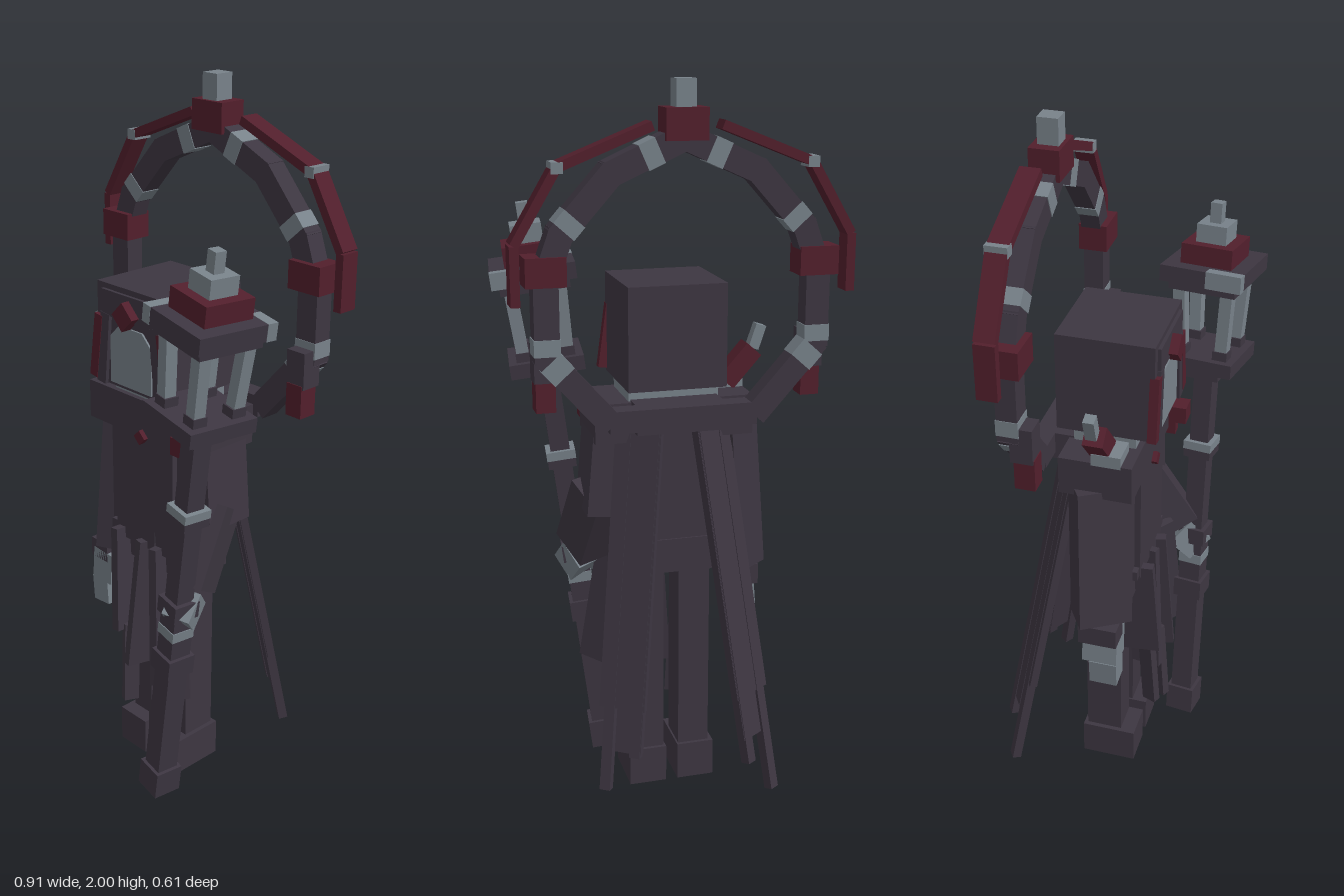
import * as THREE from 'three';

const mat = (name, color) => {
  const m = new THREE.MeshStandardMaterial({ color });
  m.name = name;
  return m;
};

export function createModel() {
  const dark = mat('dark cloth', 0x3d3641);
  const red = mat('deep red', 0x521f2c);
  const grey = mat('worn grey', 0x78828a);
  const root = new THREE.Group();
  root.name = 'lanternBearer';

  const group = (name, parent = root) => {
    const g = new THREE.Group();
    g.name = name;
    parent.add(g);
    return g;
  };
  const box = (parent, name, m, [w, h, d], [x, y, z], [rx, ry, rz] = [0, 0, 0]) => {
    const b = new THREE.Mesh(new THREE.BoxGeometry(w, h, d), m);
    b.name = name;
    b.position.set(x, y, z);
    b.rotation.set(rx, ry, rz);
    parent.add(b);
    return b;
  };
  // Box stretched between two points
  const bar = (parent, name, m, a, b, w, d, extra = 0) => {
    const p = new THREE.Vector3(...a), q = new THREE.Vector3(...b);
    const dir = q.clone().sub(p);
    const mesh = box(parent, name, m, [w, dir.length() + extra, d], [0, 0, 0]);
    mesh.position.copy(p).add(q).multiplyScalar(0.5);
    mesh.quaternion.setFromUnitVectors(new THREE.Vector3(0, 1, 0), dir.normalize());
    return mesh;
  };

  // Hooded head with face plate and red trim
  const head = group('head');
  box(head, 'hood', dark, [0.27, 0.28, 0.265], [0, 1.34, 0.003]);
  const faceShape = new THREE.Shape();
  [[-0.08, 1.21], [0.08, 1.21], [0.08, 1.34], [0.045, 1.375], [-0.045, 1.375], [-0.08, 1.34]]
    .forEach(([x, y], i) => (i ? faceShape.lineTo(x, y) : faceShape.moveTo(x, y)));
  const face = new THREE.Mesh(
    new THREE.ExtrudeGeometry(faceShape, { depth: 0.006, bevelEnabled: false }), grey);
  face.name = 'face';
  face.position.z = 0.135;
  head.add(face);
  box(head, 'hoodBrow', dark, [0.22, 0.07, 0.012], [0, 1.43, 0.139]);
  box(head, 'browDiamond', red, [0.056, 0.056, 0.03], [0, 1.415, 0.155], [0, 0, Math.PI / 4]);
  for (const s of [-1, 1]) {
    bar(head, 'hoodTrim', red, [s * 0.12, 1.39, 0.135], [s * 0.145, 1.21, 0.135], 0.03, 0.025);
    bar(head, 'hoodBorder', dark, [s * 0.095, 1.4, 0.139], [s * 0.115, 1.2, 0.139], 0.035, 0.014);
  }
  box(head, 'neckCollar', grey, [0.25, 0.05, 0.17], [0, 1.185, 0]);

  // Torso and robe
  const body = group('body');
  box(body, 'shoulderMantle', dark, [0.44, 0.11, 0.2], [0, 1.11, 0]);
  box(body, 'torso', dark, [0.3, 0.42, 0.16], [0, 0.87, 0]);
  box(body, 'tabard', dark, [0.23, 0.4, 0.02], [0, 0.92, 0.087]);
  box(body, 'chestDiamond', red, [0.03, 0.03, 0.02], [0, 1.06, 0.104], [0, 0, Math.PI / 4]);
  box(body, 'belt', dark, [0.28, 0.03, 0.18], [0, 0.745, 0.005]);
  box(body, 'shoulderClasp', red, [0.055, 0.05, 0.05], [0.19, 1.1, 0.125]);
  box(body, 'claspDrop', red, [0.03, 0.04, 0.03], [0.18, 1.055, 0.105]);
  box(body, 'shoulderBlock', grey, [0.08, 0.035, 0.08], [-0.18, 1.175, 0.03]);
  bar(body, 'shoulderSpike', red, [-0.17, 1.18, 0.01], [-0.25, 1.27, 0.01], 0.055, 0.055);
  bar(body, 'spikeTip', grey, [-0.25, 1.27, 0.005], [-0.272, 1.335, 0.005], 0.03, 0.03);

  // Skirt strips: x, width, top, bottom, sideways lean
  [[-0.085, 0.12, 0.75, 0.43, 0.02], [-0.01, 0.09, 0.74, 0.33, -0.03], [0.07, 0.1, 0.74, 0.32, 0.03],
    [0.15, 0.11, 0.73, 0.33, 0.06], [0.05, 0.025, 0.78, 0.31, 0.01],
    [-0.05, 0.045, 0.45, 0.2, 0.01], [0.065, 0.03, 0.4, 0.12, 0.01]]
    .forEach(([x, w, t, b, lean], i) => {
      const z = (y) => 0.07 + (0.75 - y) * 0.06 + i * 0.003;
      bar(body, 'skirtStrip', dark, [x - lean / 2, t, z(t)], [x + lean / 2, b, z(b)], w, 0.025);
    });

  // Legs and feet
  for (const s of [-1, 1]) {
    box(body, 'leg', dark, [0.09, 0.65, 0.105], [s * 0.067, 0.42, -0.012]);
    box(body, 'foot', dark, [0.108, 0.11, 0.16], [s * 0.071, 0.055, 0.005]);
  }

  // Hanging right arm
  const rightArm = group('rightArm');
  bar(rightArm, 'sleeve', dark, [-0.17, 1.07, 0], [-0.205, 0.64, 0.01], 0.105, 0.15);
  box(rightArm, 'cuff', dark, [0.07, 0.06, 0.11], [-0.232, 0.61, 0.015]);
  box(rightArm, 'palm', grey, [0.08, 0.1, 0.1], [-0.22, 0.56, 0.02], [0, 0, -0.08]);
  box(rightArm, 'fingers', grey, [0.065, 0.08, 0.08], [-0.23, 0.475, 0.03], [0, 0, 0.08]);

  // Bent left arm gripping the staff
  const leftArm = group('leftArm');
  bar(leftArm, 'upperArm', dark, [0.165, 1.07, 0], [0.185, 0.84, 0], 0.11, 0.15);
  bar(leftArm, 'forearm', dark, [0.19, 0.89, 0.0], [0.215, 0.69, 0.12], 0.1, 0.13);
  bar(leftArm, 'hand', grey, [0.215, 0.67, 0.125], [0.23, 0.61, 0.185], 0.08, 0.09);

  // Two ragged cape tails spreading behind
  for (const s of [-1, 1]) {
    const cape = group('capeTail');
    cape.position.set(s * 0.095, 1.12, -0.095);
    cape.rotation.set(0.2, -s * 0.58, 0, 'YXZ');
    const k = s < 0 ? 1 : 0.94;
    // offset, width, length
    [[0, 0.13, 0.8], [0.025, 0.075, 0.92], [-0.035, 0.03, 1.1 * k], [0.045, 0.03, 0.99 * k]]
      .forEach(([x, w, l], i) =>
        box(cape, 'capeStrip', dark, [w, l, 0.022 + i * 0.002], [-s * x, -l / 2, 0]));
  }

  // Ring behind the head
  const ring = group('backRing');
  const zr = -0.168;
  const path = [[0, 1.86], [0.19, 1.775], [0.32, 1.63], [0.36, 1.52], [0.36, 1.32], [0.2, 1.14]];
  const outer = [[0.09, 1.89], [0.33, 1.795], [0.44, 1.61], [0.44, 1.46]];
  for (const s of [-1, 1]) {
    const pt = ([x, y], z = zr) => [s * x, y, z];
    for (let i = 0; i < path.length - 1; i++) {
      const a = path[i], b = path[i + 1];
      bar(ring, 'ringSegment', dark, pt(a), pt(b), 0.065, 0.055, 0.02);
      // Worn sleeve on each segment
      const mix = (t) => [a[0] + (b[0] - a[0]) * t, a[1] + (b[1] - a[1]) * t];
      const t0 = [0.35, 0.72, 0.6, 0.75, 0.05][i];
      bar(ring, 'wornSleeve', grey, pt(mix(t0)), pt(mix(t0 + 0.22)), 0.069, 0.059);
    }
    for (let i = 0; i < outer.length - 1; i++)
      bar(ring, 'outerBand', red, pt(outer[i], -0.19), pt(outer[i + 1], -0.19), 0.024, 0.055);
    box(ring, 'bandClip', grey, [0.03, 0.028, 0.058], [s * 0.33, 1.795, -0.19]);
    box(ring, 'sideClamp', red, [0.105, 0.075, 0.08], [s * 0.36, 1.54, -0.163]);
    box(ring, 'sidePendant', red, [0.052, 0.09, 0.055], [s * 0.36, 1.215, -0.13]);
    box(ring, 'pendantHanger', dark, [0.06, 0.1, 0.06], [s * 0.36, 1.3, -0.135]);
  }
  box(ring, 'ringBase', dark, [0.4, 0.06, 0.055], [0, 1.14, zr]);
  box(ring, 'ringMount', dark, [0.24, 0.08, 0.1], [0, 1.13, -0.11]);
  box(ring, 'topClamp', red, [0.11, 0.08, 0.08], [0, 1.892, -0.17]);
  box(ring, 'topFinial', grey, [0.052, 0.07, 0.055], [0, 1.965, -0.168]);

  // Leaning staff with cage lantern
  const staff = group('staff');
  staff.position.set(0.143, 0.018, 0.177);
  staff.rotation.set(0, -0.13, -0.127, 'ZYX');
  // name, material, width, bottom, top
  [['staffFoot', dark, 0.085, 0, 0.085], ['lowerShaft', dark, 0.065, 0.08, 0.66],
    ['upperShaft', dark, 0.055, 0.64, 1.2], ['lowerKnob', dark, 0.085, 0.43, 0.49],
    ['middleKnob', dark, 0.08, 0.62, 0.67], ['gripBand', grey, 0.07, 0.55, 0.58],
    ['upperKnob', dark, 0.08, 0.91, 0.935], ['upperKnobBand', grey, 0.083, 0.935, 0.96],
    ['lanternStem', dark, 0.1, 1.165, 1.205], ['lanternFloor', dark, 0.205, 1.205, 1.245],
    ['lanternRoof', dark, 0.23, 1.46, 1.505], ['lanternRoofRim', dark, 0.19, 1.435, 1.46],
    ['lanternCap', red, 0.145, 1.505, 1.56], ['capBlock', grey, 0.085, 1.56, 1.61],
    ['lanternFinial', grey, 0.032, 1.61, 1.665]]
    .forEach(([n, m, w, b, t]) => box(staff, n, m, [w, t - b, w], [0, (b + t) / 2, 0]));
  for (const x of [-1, 1])
    for (const z of [-1, 1]) {
      bar(staff, 'lanternPost', grey, [x * 0.06, 1.24, z * 0.06], [x * 0.068, 1.44, z * 0.068], 0.034, 0.034);
      box(staff, 'postFoot', dark, [0.042, 0.03, 0.042], [x * 0.06, 1.255, z * 0.06]);
    }
  box(staff, 'roofPatch', grey, [0.07, 0.047, 0.03], [0.081, 1.4825, -0.101]);
  box(staff, 'roofPatch', grey, [0.03, 0.047, 0.1], [-0.101, 1.4825, 0.066]);

  return root;
}
